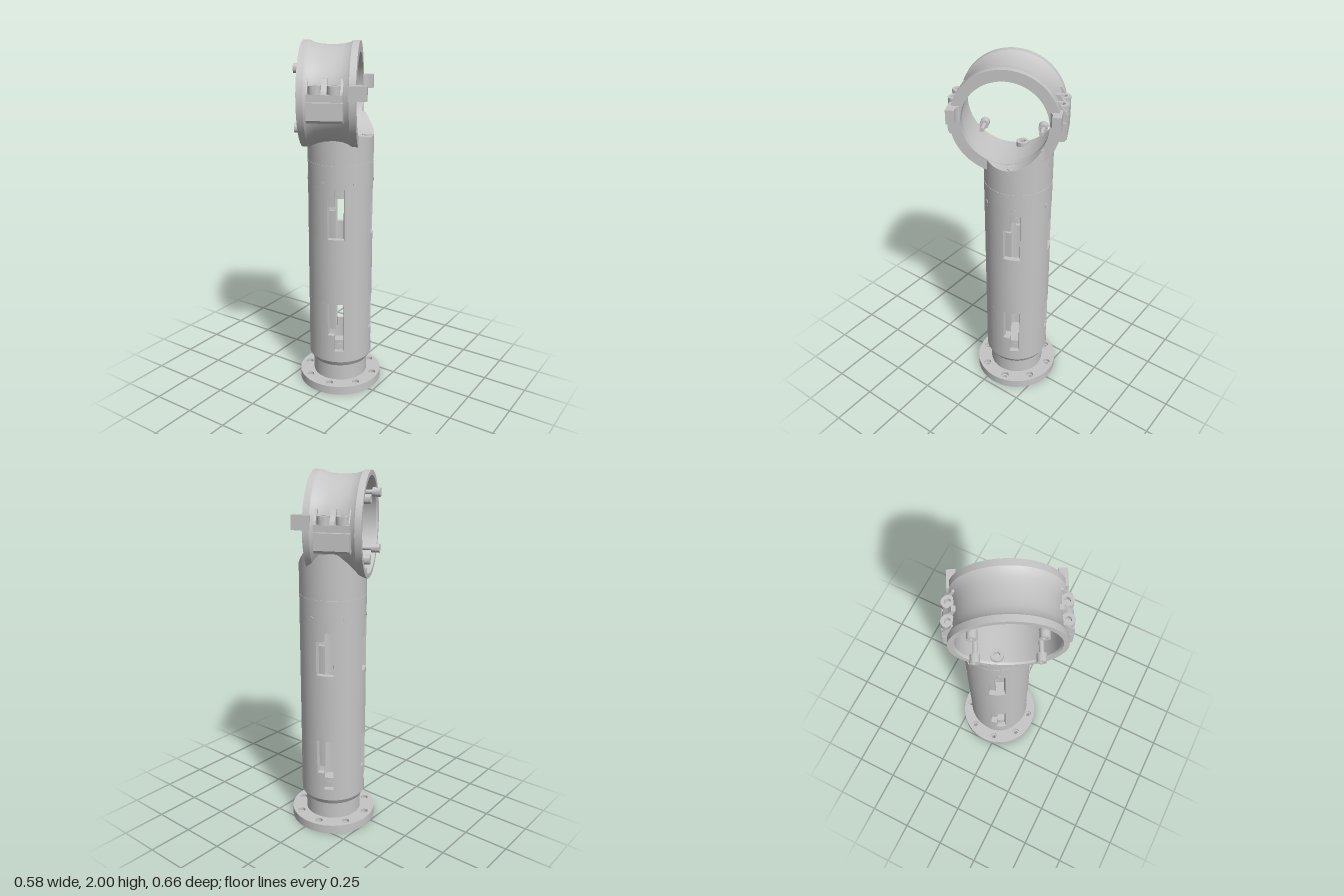
import * as THREE from 'three';
import { toCreasedNormals } from 'three/addons/utils/BufferGeometryUtils.js';

const metal = new THREE.MeshStandardMaterial({ color: 0xc5c5c5 });
metal.name = 'machinedGrey';
const rad = THREE.MathUtils.degToRad;
const YAW = rad(27.5);          // clamp and slots share this turn about y
const R = 0.183, R_IN = 0.153;  // column wall

function add(parent, name, geo, x = 0, y = 0, z = 0) {
  const m = new THREE.Mesh(geo, metal);
  m.name = name;
  m.position.set(x, y, z);
  parent.add(m);
  return m;
}

// Solid of revolution from [radius, height] pairs, with crisp edges
function turned(points, segments = 96) {
  const g = new THREE.LatheGeometry(points.map(p => new THREE.Vector2(...p)), segments);
  return toCreasedNormals(g, 0.35);
}

const band = (r0, r1, y0, y1) => turned([[r0, y0], [r1, y0], [r1, y1], [r0, y1], [r0, y0]]);

// Extrude a plan shape upward from y0 to y1
function slab(shape, y0, y1, curveSegments = 16) {
  const g = new THREE.ExtrudeGeometry(shape, { depth: y1 - y0, bevelEnabled: false, curveSegments });
  g.rotateX(-Math.PI / 2).translate(0, y0, 0);
  return toCreasedNormals(g, 0.5);
}

// Curved wall piece between two bearings (degrees from +z toward +x)
function sector(a0, a1, y0, y1, r0 = R_IN, r1 = R) {
  const s = new THREE.Shape();
  s.absarc(0, 0, r1, rad(a0 - 90), rad(a1 - 90), false);
  s.absarc(0, 0, r0, rad(a1 - 90), rad(a0 - 90), true);
  return slab(s, y0, y1, Math.ceil((a1 - a0) / 3));
}

function circle(r, holes = []) {
  const s = new THREE.Shape();
  s.absarc(0, 0, r, 0, Math.PI * 2, false);
  for (const [x, y, hr] of holes) {
    const h = new THREE.Path();
    h.absarc(x, y, hr, 0, Math.PI * 2, true);
    s.holes.push(h);
  }
  return s;
}

const holeRing = (n, r, start, hr) => Array.from({ length: n }, (_, i) => {
  const a = rad(start + i * 360 / n);
  return [r * Math.sin(a), -r * Math.cos(a), hr];
});

// Socket head screw, underside of head at the origin, head up
function screw(parent, name, r, h, shank) {
  const g = new THREE.Group();
  g.name = name;
  const s = circle(r);
  const hex = new THREE.Path();
  for (let i = 0; i < 6; i++) {
    const a = -i * Math.PI / 3;
    hex[i ? 'lineTo' : 'moveTo'](r * 0.5 * Math.cos(a), r * 0.5 * Math.sin(a));
  }
  hex.closePath();
  s.holes.push(hex);
  add(g, 'socketHead', slab(s, h * 0.4, h));
  add(g, 'headBase', new THREE.CylinderGeometry(r, r, h * 0.4, 32), 0, h * 0.2);
  add(g, 'shank', new THREE.CylinderGeometry(r * 0.5, r * 0.5, shank, 20), 0, -shank / 2);
  parent.add(g);
  return g;
}

function buildBase(g) {
  const sockets = [[0, 0, 0.068], ...holeRing(6, 0.115, 5, 0.031)];
  add(g, 'flangeLower', slab(circle(0.241, [...holeRing(8, 0.2, 15, 0.012), ...sockets]), 0, 0.032, 48));
  add(g, 'flangeUpper', slab(circle(0.241, [...holeRing(8, 0.2, 15, 0.021), ...sockets]), 0.032, 0.05, 48));
  add(g, 'neck', new THREE.CylinderGeometry(0.158, 0.158, 0.13, 96), 0, 0.111);
}

function buildColumn(g) {
  add(g, 'columnFoot', turned([[0.14, 0.15], [0.166, 0.15], [R, 0.18], [R, 0.25], [R_IN, 0.25], [R_IN, 0.16], [0.14, 0.15]]));
  add(g, 'columnMiddle', band(R_IN, R, 0.55, 0.94));
  add(g, 'columnTop', band(R_IN, R, 1.23, 1.358));
  add(g, 'seam', new THREE.CylinderGeometry(0.181, 0.181, 0.02, 96), 0, 1.36);

  // Four stepped windows at each level
  const levels = [
    { y: [0.25, 0.55], narrow: [0.25, 0.35], wide: [0.38, 0.55], tab: [0.25, 0.31] },
    { y: [0.94, 1.23], narrow: [1.13, 1.23], wide: [0.94, 1.1], tab: [1.17, 1.23] },
  ];
  for (const l of levels) {
    for (let k = 0; k < 4; k++) {
      const c = 27.5 + 90 * k;
      add(g, 'windowPillar', sector(c + 12.5, c + 72.5, ...l.y));
      add(g, 'windowStep', sector(c - 17.5, c - 5.5, ...l.narrow));
      add(g, 'pocketFloor', sector(c - 18.5, c - 5.5, ...l.wide, 0.142, 0.155));
      add(g, 'mountingTab', sector(c - 6.5, c + 13.5, ...l.tab, 0.142, 0.155));
      const pin = add(g, 'tabScrew', new THREE.CylinderGeometry(0.011, 0.011, 0.006, 16));
      const a = rad(c + 3.5), y = (l.tab[0] + l.tab[1]) / 2;
      pin.position.set(0.156 * Math.sin(a), y, 0.156 * Math.cos(a));
      pin.rotation.set(Math.PI / 2, a, 0, 'YXZ');
    }
  }
  // Set screws around the top
  for (let k = 0; k < 6; k++) {
    const a = rad(60 * k);
    const pin = add(g, 'setScrew', new THREE.CylinderGeometry(0.013, 0.013, 0.01, 20),
      0.181 * Math.sin(a), 1.255, 0.181 * Math.cos(a));
    pin.rotation.set(Math.PI / 2, a, 0, 'YXZ');
  }
}

// Cap whose top is scooped to follow the stepped clamp bore
function buildCap(g) {
  const pts = [[0, 1.362], [R, 1.362]];
  for (let i = 0; i <= 20; i++) pts.push([R * (1 - i / 20), 1.5]);
  const geo = new THREE.LatheGeometry(pts.map(p => new THREE.Vector2(...p)), 96);
  const p = geo.attributes.position;
  const sin = Math.sin(YAW), cos = Math.cos(YAW);
  for (let i = 0; i < p.count; i++) {
    if (p.getY(i) < 1.4) continue;
    const x = p.getX(i) + 0.011, z = p.getZ(i) - 0.068;
    const axis = x * cos - z * sin, t = x * sin + z * cos;
    const bore = axis > 0.125 ? 0.224 : 0.252;
    p.setY(i, Math.min(1.6, 1.72 - Math.sqrt(Math.max(0, bore * bore - t * t))));
  }
  add(g, 'scoopedCap', toCreasedNormals(geo, 0.6));
  for (const s of [-1, 1]) {
    screw(g, 'capScrew', 0.034, 0.045, 0.05)
      .position.set(s * 0.149 * cos, 1.457, -s * 0.149 * sin);
  }
}

// Clamp ring: local x is the bore axis, local z points to the ears
function buildClamp(g) {
  const ring = turned([
    [0.28, -0.15], [0.28, -0.115], [0.271, -0.1], [0.263, -0.07], [0.259, -0.03], [0.259, 0.03],
    [0.263, 0.07], [0.271, 0.1], [0.28, 0.115], [0.28, 0.15], [0.222, 0.15],
    [0.222, 0.105], [0.246, 0.105], [0.246, -0.14], [0.254, -0.15], [0.28, -0.15]], 128);
  add(g, 'clampRing', ring.rotateZ(-Math.PI / 2));

  // Ear profile as (tangent, height), spanning a0 to a1 along the axis
  const ear = (pts, a0, a1) => {
    const e = new THREE.ExtrudeGeometry(new THREE.Shape(pts.map(p => new THREE.Vector2(...p))),
      { depth: a1 - a0, bevelEnabled: false });
    return e.rotateY(-Math.PI / 2).translate(a1, 0, 0);
  };
  const lower = ear([[0.234, -0.105], [0.292, -0.105], [0.304, -0.09], [0.304, -0.002], [0.25, -0.002]], -0.096, 0.088);
  const upper = ear([[0.25, 0.002], [0.304, 0.002], [0.304, 0.038], [0.246, 0.038]], -0.096, 0.088);
  const ribs = [[-0.096, -0.089], [-0.021, 0.007], [0.075, 0.088]].map(([a0, a1]) =>
    ear([[0.246, 0.036], [0.304, 0.036], [0.296, 0.055], [0.27, 0.085], [0.255, 0.11], [0.234, 0.11]], a0, a1));

  // Plan of the hooked tab, drawn as (axis, tangent)
  const hook = new THREE.Shape();
  hook.moveTo(0.11, 0.24);
  hook.lineTo(0.149, 0.24);
  hook.lineTo(0.149, 0.223);
  hook.quadraticCurveTo(0.162, 0.242, 0.206, 0.238);
  hook.lineTo(0.206, 0.283);
  hook.lineTo(0.11, 0.283);
  const hookGeo = toCreasedNormals(new THREE.ExtrudeGeometry(hook, { depth: 0.075, bevelEnabled: false }), 0.5);
  hookGeo.rotateX(Math.PI / 2).translate(0, 0.08, 0);

  for (const s of [-1, 1]) {
    add(g, 'lowerEar', lower).scale.z = s;
    add(g, 'upperEar', upper).scale.z = s;
    for (const rib of ribs) add(g, 'earRib', rib).scale.z = s;
    add(g, 'hookTab', hookGeo).scale.z = s;
    for (const x of [-0.055, 0.041]) {
      screw(g, 'clampScrew', 0.033, 0.044, 0.035).position.set(x, 0.037, s * 0.273);
    }
    // Retaining screws along the bore
    for (const v of [-1, 1]) {
      const b = screw(g, 'retainingScrew', 0.025, 0.045, 0.065);
      b.position.set(-0.132, v * 0.152, s * 0.16);
      b.rotation.z = Math.PI / 2;
    }
  }
}

export function createModel() {
  const model = new THREE.Group();
  model.name = 'clampPost';
  const post = new THREE.Group();
  post.name = 'post';
  post.position.set(-0.016, 0, -0.057);
  buildBase(post);
  buildColumn(post);
  buildCap(post);
  const clamp = new THREE.Group();
  clamp.name = 'ringClamp';
  clamp.position.set(-0.027, 1.72, 0.011);
  clamp.rotation.y = YAW;
  buildClamp(clamp);
  model.add(post, clamp);
  return model;
}
